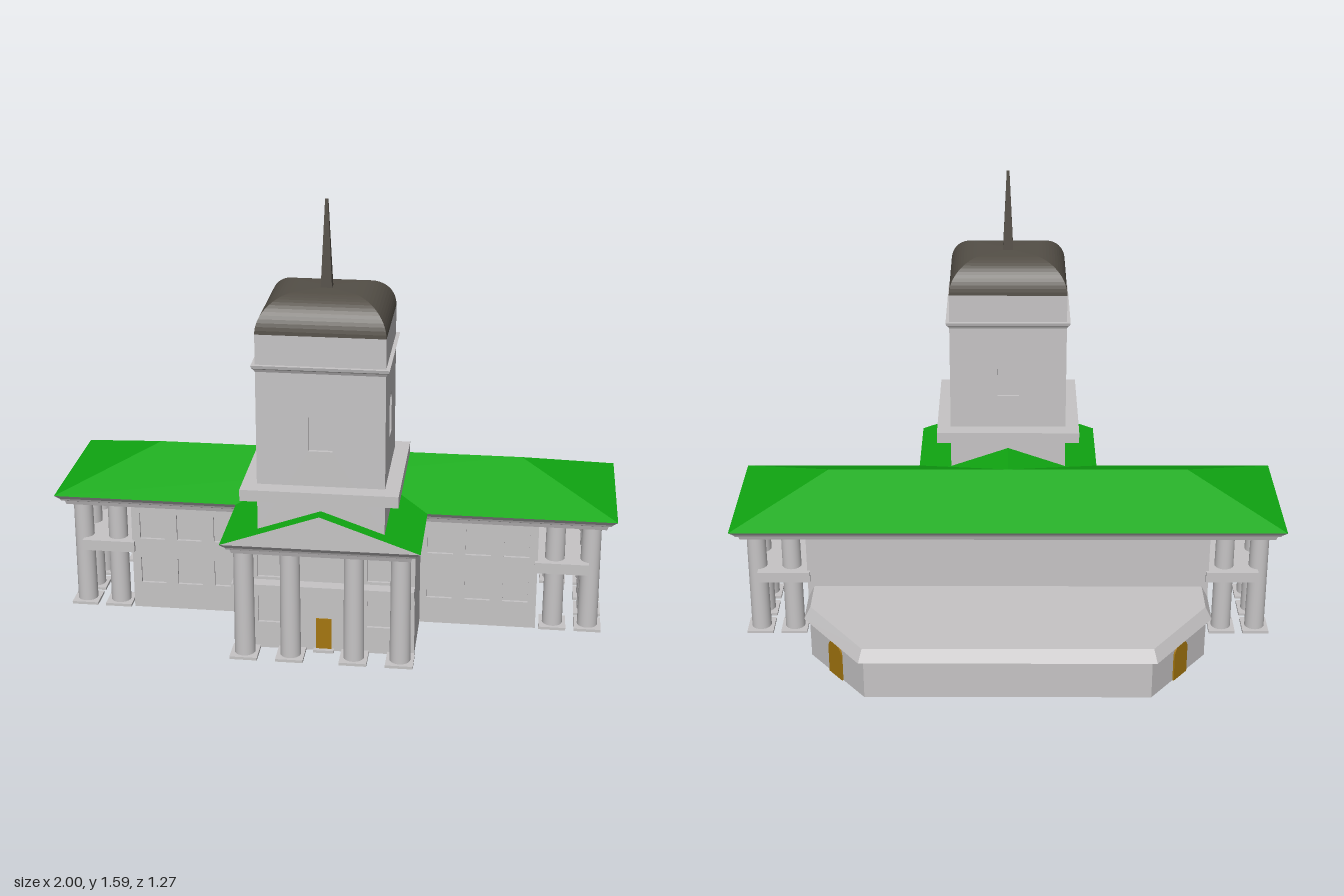
import * as THREE from 'three';

const stone = new THREE.MeshStandardMaterial({ color: 0xc6c4c5 });
stone.name = 'stone';
const green = new THREE.MeshStandardMaterial({ color: 0x10a812, side: THREE.DoubleSide });
green.name = 'roof green';
const dark = new THREE.MeshStandardMaterial({ color: 0x544f47 });
dark.name = 'dome brown';
const ochre = new THREE.MeshStandardMaterial({ color: 0xa4760f });
ochre.name = 'door ochre';

// Triangles from corner positions, unshared so every face stays flat
function faces(tris) {
  const g = new THREE.BufferGeometry();
  g.setAttribute('position', new THREE.Float32BufferAttribute(tris.flat(2), 3));
  g.computeVertexNormals();
  return g;
}

// Stack of horizontal outlines [y, [[x, z], ...]] joined into a capped solid
function loft(rings) {
  const r = rings.map(([y, pts]) => pts.map(([x, z]) => [x, y, z]));
  const tris = [];
  const n = r[0].length;
  const top = r[r.length - 1];
  for (let k = 0; k < r.length - 1; k++) {
    for (let i = 0; i < n; i++) {
      const j = (i + 1) % n;
      tris.push([r[k][i], r[k][j], r[k + 1][j]], [r[k][i], r[k + 1][j], r[k + 1][i]]);
    }
  }
  for (let i = 1; i < n - 1; i++) {
    tris.push([r[0][0], r[0][i + 1], r[0][i]], [top[0], top[i], top[i + 1]]);
  }
  return faces(tris);
}

const rect = (hx, z0, z1) => [[-hx, z1], [hx, z1], [hx, z0], [-hx, z0]];

// Opening outline, optionally with a round head
function opening(Type, x, y, w, h, arched) {
  const p = new Type();
  const r = w / 2;
  p.moveTo(x - r, y);
  p.lineTo(x + r, y);
  if (arched) {
    p.lineTo(x + r, y + h - r);
    p.absarc(x, y + h - r, r, 0, Math.PI, false);
  } else {
    p.lineTo(x + r, y + h);
    p.lineTo(x - r, y + h);
  }
  p.closePath();
  return p;
}

// Wall skin with recessed windows
function panel(x, y, w, h, holes, depth) {
  const s = opening(THREE.Shape, x, y, w, h, false);
  s.holes = holes;
  return new THREE.ExtrudeGeometry(s, { depth, bevelEnabled: false, curveSegments: 8 });
}

export function createModel() {
  const model = new THREE.Group();
  model.name = 'building';
  const add = (name, geometry, material, parent = model) => {
    const m = new THREE.Mesh(geometry, material);
    m.name = name;
    parent.add(m);
    return m;
  };
  const box = (name, x0, x1, y0, y1, z0, z1, material = stone) => {
    const m = add(name, new THREE.BoxGeometry(x1 - x0, y1 - y0, z1 - z0), material);
    m.position.set((x0 + x1) / 2, (y0 + y1) / 2, (z0 + z1) / 2);
    return m;
  };

  // Main hall and entrance block
  box('mainHall', -0.73, 0.73, 0, 0.41, -0.19, 0.25);
  box('entranceBlock', -0.315, 0.315, 0, 0.41, 0.2, 0.5);
  const rows = [0.1, 0.275];
  for (const s of [-1, 1]) {
    const holes = [0.385, 0.52, 0.655].flatMap(x =>
      rows.map(y => opening(THREE.Path, s * x, y, 0.09, 0.1)));
    add('wingWall', panel(s * 0.5225, 0, 0.415, 0.41, holes, 0.01), stone).position.z = 0.25;
  }
  const porticoHoles = [-0.19, 0.19].flatMap(x =>
    rows.map(y => opening(THREE.Path, x, y, 0.08, 0.1)));
  add('entranceWall', panel(0, 0, 0.63, 0.41, porticoHoles, 0.01), stone).position.z = 0.5;
  box('frontDoor', -0.027, 0.027, 0.01, 0.125, 0.509, 0.515, ochre);
  box('doorStep', -0.036, 0.036, 0, 0.01, 0.5, 0.53);

  // Balcony beams between columns
  box('entranceBeam', -0.315, 0.315, 0.225, 0.265, 0.5, 0.555);
  box('leftBalcony', 0.72, 0.91, 0.225, 0.265, -0.205, 0.275);
  box('rightBalcony', -0.91, -0.72, 0.225, 0.265, -0.205, 0.275);

  // Columns on square plinths
  const shaft = new THREE.CylinderGeometry(0.034, 0.036, 0.39, 24);
  const plinth = new THREE.BoxGeometry(0.096, 0.01, 0.096);
  const column = (x, z) => {
    const g = new THREE.Group();
    g.name = 'column';
    add('shaft', shaft, stone, g).position.y = 0.205;
    add('plinth', plinth, stone, g).position.y = 0.005;
    g.position.set(x, 0, z);
    model.add(g);
  };
  for (const s of [-1, 1]) {
    for (const x of [0.11, 0.27]) column(s * x, 0.56);
    for (const z of [0.22, 0.1, -0.022, -0.145]) column(s * 0.915, z);
    for (const z of [0.22, -0.145]) column(s * 0.79, z);
  }

  // Stepped cornices under the eaves
  const steps = [[0.4, 0.035], [0.415, 0.03], [0.42, 0.02], [0.428, 0.016], [0.445, 0]];
  add('mainCornice', loft(steps.map(([y, d]) => [y, rect(1 - d, -0.235 + d, 0.3 - d)])), stone);
  add('entranceCornice', loft(steps.map(([y, d]) => [y, rect(0.34 - d, 0.05, 0.63 - d)])), stone);

  // Hipped main roof, gabled entrance roof and pediment
  add('mainRoof', loft([[0.445, rect(1, -0.235, 0.3)], [0.565, rect(0.66, 0.0325, 0.0325)]]), green);
  const ridgeFront = [0, 0.565, 0.63], ridgeBack = [0, 0.565, 0.0325];
  const slopes = [];
  for (const s of [-1, 1]) {
    const a = [s * 0.34, 0.445, 0.63], b = [s * 0.34, 0.445, 0.3];
    slopes.push(...(s > 0
      ? [[a, b, ridgeBack], [a, ridgeBack, ridgeFront]]
      : [[a, ridgeBack, b], [a, ridgeFront, ridgeBack]]));
  }
  add('entranceRoof', faces(slopes), green);
  add('pediment', faces([[[-0.34, 0.445, 0.63], [0.34, 0.445, 0.63], ridgeFront]]), stone);

  // Tower with an arched niche on each side
  const tower = new THREE.Group();
  tower.name = 'tower';
  tower.position.z = 0.395;
  model.add(tower);
  const hx = 0.215, hz = 0.185, t = 0.012;
  const block = (name, y0, y1, ax, az) => {
    add(name, new THREE.BoxGeometry(ax * 2, y1 - y0, az * 2), stone, tower).position.y = (y0 + y1) / 2;
  };
  block('towerCore', 0.485, 1.18, hx - t, hz - t);
  for (let i = 0; i < 4; i++) {
    const w = i % 2 ? 2 * (hz - t) : 2 * hx;
    const side = new THREE.Group();
    side.name = 'towerSide';
    side.rotation.y = i * Math.PI / 2;
    const niche = opening(THREE.Path, 0, 0.78, 0.08, 0.15, true);
    add('towerWall', panel(0, 0.485, w, 0.695, [niche], t), stone, side).position.z = (i % 2 ? hx : hz) - t;
    tower.add(side);
  }
  block('towerBalcony', 0.615, 0.655, 0.265, 0.243);
  add('towerCornice', loft([[1.052, 0], [1.062, 0.005], [1.066, 0.01], [1.077, 0.013]].map(
    ([y, d]) => [y, rect(hx + d, -hz - d, hz + d)])), stone, tower);

  // Square dome with rounded shoulders, and spire
  const dome = [];
  for (let i = 0; i <= 14; i++) {
    const a = i / 14 * Math.PI / 2;
    const d = 0.113 * (1 - Math.cos(a));
    dome.push([1.18 + 0.113 * Math.sin(a), rect(hx - d, -hz + d, hz - d)]);
  }
  dome.push([1.295, rect(0.018, -0.018, 0.018)]);
  add('dome', loft(dome), dark, tower);
  add('spire', loft([[1.29, rect(0.019, -0.019, 0.019)], [1.59, rect(0.005, -0.005, 0.005)]]), dark, tower);

  // Low rear annex with chamfered corners
  const outline = (x, zc, xb, zb) =>
    [[-x, -0.18], [x, -0.18], [x, zc], [xb, zb], [-xb, zb], [-x, zc]];
  const wall = outline(0.71, -0.335, 0.5, -0.605);
  add('annex', loft([[0, wall], [0.16, wall]]), stone);
  add('annexRoof', loft([
    [0.155, outline(0.73, -0.342, 0.515, -0.63)],
    [0.2, outline(0.707, -0.333, 0.503, -0.607)],
  ]), stone);

  // Arched doors on the chamfers
  for (const s of [-1, 1]) {
    const g = new THREE.ExtrudeGeometry(opening(THREE.Shape, 0, 0, 0.082, 0.14, true),
      { depth: 0.006, bevelEnabled: false, curveSegments: 8 });
    const door = add('annexDoor', g, ochre);
    door.position.set(s * 0.607, 0, -0.467);
    door.rotation.y = Math.atan2(s * 0.27, -0.21);
  }
  return model;
}
